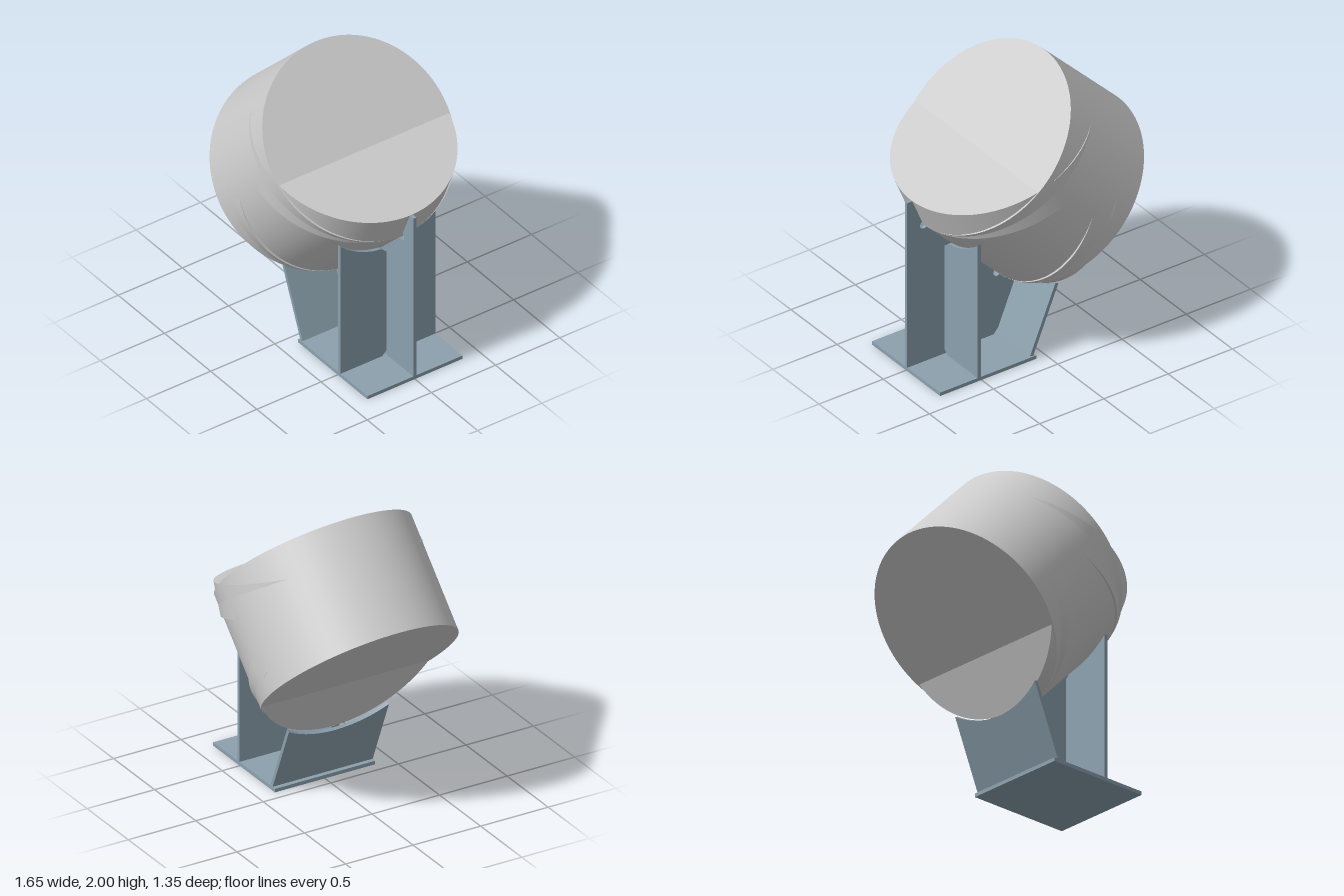
import * as THREE from 'three';

const R = 0.673; // pipe radius
const T = 0.025; // plate thickness
const W = 0.37; // plate half width
const DEG = Math.PI / 180;
const LOW = [0.124, 0.483]; // outer seam between lower and middle pipe
const HIGH = [0.695, 1.053]; // outer seam between middle and upper pipe

export function createModel() {
  const model = new THREE.Group();
  const grey = new THREE.MeshStandardMaterial({ color: 0xcccccc });
  const steel = new THREE.MeshStandardMaterial({ color: 0x8ba0ad });

  function add(name, geometry, material) {
    const mesh = new THREE.Mesh(geometry, material);
    mesh.name = name;
    model.add(mesh);
    return mesh;
  }

  // Pipe segment whose outer line starts at a seam and runs at the given angle
  function pipe(name, [x, y], degrees, length) {
    const a = degrees * DEG;
    const mesh = add(name, new THREE.CylinderGeometry(R, R, Math.abs(length), 128), grey);
    mesh.position.set(
      x - Math.sin(a) * R + Math.cos(a) * length / 2,
      y + Math.cos(a) * R + Math.sin(a) * length / 2, 0);
    mesh.rotation.z = a - Math.PI / 2;
  }
  pipe('middlePipe', LOW, 45, 0.806);
  pipe('upperPipe', HIGH, 67.5, 0.228);
  pipe('lowerPipe', LOW, 22.5, -0.165);

  const extrude = (shape, depth) =>
    new THREE.ExtrudeGeometry(shape, { depth, bevelEnabled: false, curveSegments: 16 });

  // Foot plate
  const foot = add('footPlate', new THREE.BoxGeometry(0.75, T, 2 * W), steel);
  foot.position.set(0.447, T / 2, 0);

  // Central web, following the pipe bend, with round holes at the seams
  const web = new THREE.Shape();
  web.moveTo(0.15, T);
  web.lineTo(0.822, T);
  web.lineTo(0.822, 1.262);
  web.lineTo(0.783, 1.262);
  web.absarc(...HIGH, 0.028, 67.5 * DEG, -135 * DEG, true);
  web.absarc(...LOW, 0.028, 45 * DEG, -157.5 * DEG, true);
  web.lineTo(-0.03, 0.418);
  web.lineTo(0.115, 0.065);
  web.closePath();
  add('web', extrude(web, T), steel).position.z = -T / 2;

  // Saddle plate across the web: its top is cut to the pipe
  function saddle(name, [x, y], tilt, bottom, topAt, notched) {
    const pts = [[-W, bottom]];
    if (notched) pts.push([-0.045, bottom], [-0.012, bottom + 0.03], [0.012, bottom + 0.03], [0.045, bottom]);
    pts.push([W, bottom]);
    for (let i = 0; i <= 32; i++) {
      const z = W - (2 * W * i) / 32;
      const drop = notched ? Math.max(0, Math.min(0.035, 0.05 - Math.abs(z))) : 0;
      pts.push([z, topAt(z) - drop]);
    }
    const shape = new THREE.Shape(pts.map(p => new THREE.Vector2(...p)));
    const mesh = add(name, extrude(shape, T), steel);
    mesh.rotation.set(0, -Math.PI / 2, tilt, 'ZYX');
    mesh.position.set(x, y, 0);
  }
  const sag = z => R - Math.sqrt(R * R - z * z);
  saddle('crossRib', [0.53, 0], 0, T, z => 0.865 + Math.SQRT2 * sag(z), true);
  saddle('tiltedSaddlePlate', [0.122, 0.038], 22.5 * DEG, 0, z => 0.405 + sag(z), false);

  return model;
}
